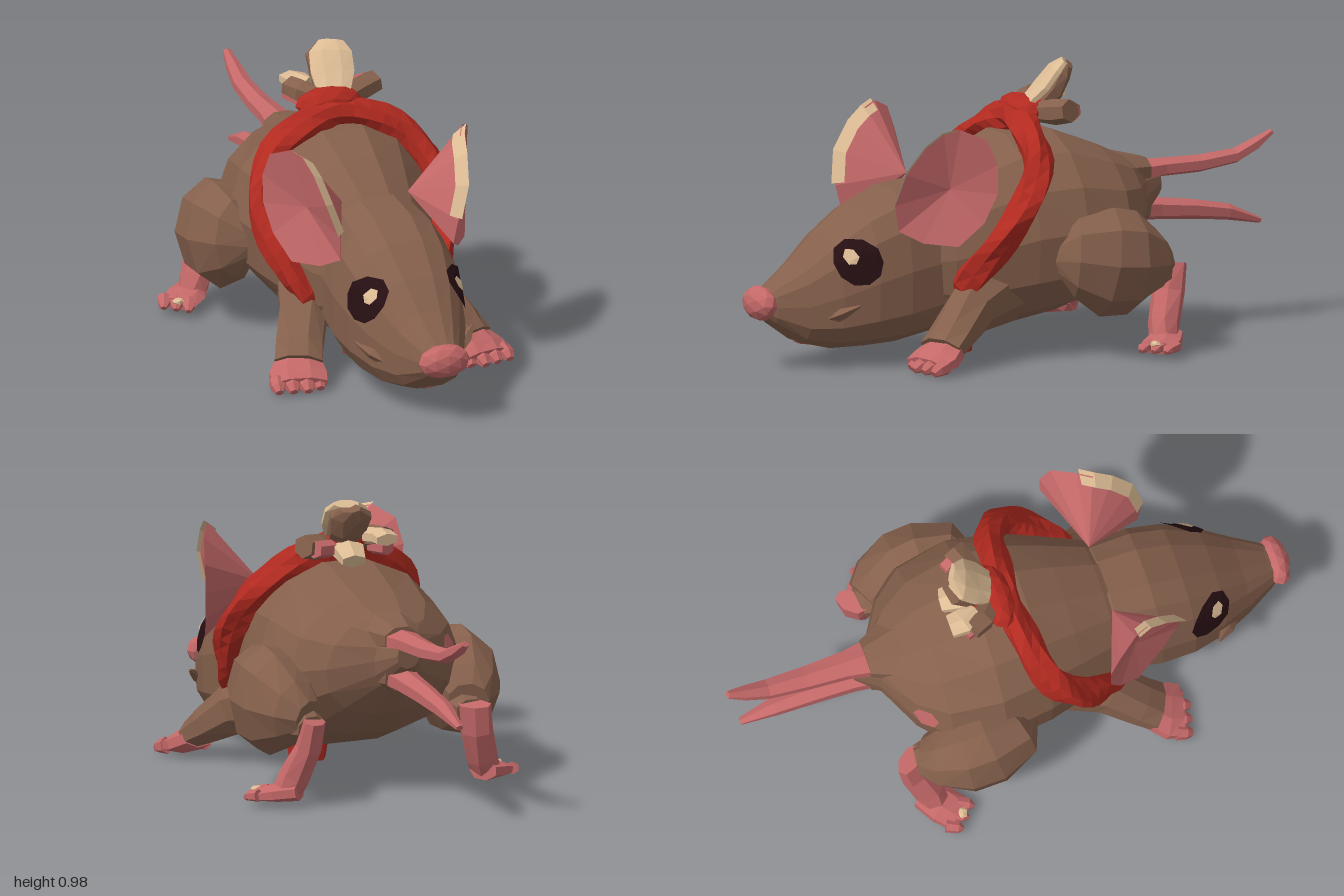
import * as THREE from 'three';

const V = (x, y, z) => new THREE.Vector3(x, y, z);
const mat = (name, color) => Object.assign(new THREE.MeshStandardMaterial({ color }), { name });

// Skin closed rings of points, with capped ends and faceted normals
function loft(rings) {
  const n = rings[0].length, pos = [];
  const tri = (a, b, c) => pos.push(...a.toArray(), ...b.toArray(), ...c.toArray());
  const mid = (r) => r.reduce((s, p) => s.add(p), V(0, 0, 0)).divideScalar(n);
  const first = rings[0], last = rings[rings.length - 1], c0 = mid(first), c1 = mid(last);
  for (let j = 0; j < n; j++) {
    const k = (j + 1) % n;
    for (let i = 0; i < rings.length - 1; i++) {
      const a = rings[i], b = rings[i + 1];
      tri(a[j], a[k], b[k]);
      tri(a[j], b[k], b[j]);
    }
    tri(c0, first[k], first[j]);
    tri(c1, last[j], last[k]);
  }
  return faceted(pos);
}

function faceted(pos) {
  const g = new THREE.BufferGeometry();
  g.setAttribute('position', new THREE.Float32BufferAttribute(pos, 3));
  g.computeVertexNormals();
  return g;
}

// Rows of [z, top, bottom, halfWidth]; taper narrows the upper half, a low power squares the section
function trunk(rows, taper, power, n = 14) {
  const bulge = (t) => Math.sign(t) * Math.pow(Math.abs(t), power);
  return loft(rows.map(([z, top, bot, rx]) => Array.from({ length: n }, (_, j) => {
    const a = (j / n) * Math.PI * 2, s = bulge(Math.sin(a)), c = bulge(Math.cos(a));
    return V(rx * c * (1 - taper * s), (top + bot) / 2 + s * (top - bot) / 2, z);
  })));
}

// Rows of [x, y, z, halfWidth, halfHeight] along a path
function limb(rows, n = 7) {
  const pts = rows.map((r) => V(r[0], r[1], r[2]));
  return loft(rows.map((r, i) => {
    const d = pts[Math.min(i + 1, pts.length - 1)].clone().sub(pts[Math.max(i - 1, 0)]).normalize();
    const u = V(0, 1, 0).cross(d).normalize(), v = d.clone().cross(u);
    return Array.from({ length: n }, (_, j) => {
      const a = ((j + 0.5) / n) * Math.PI * 2;
      return pts[i].clone().addScaledVector(u, r[3] * Math.cos(a)).addScaledVector(v, r[4] * Math.sin(a));
    });
  }));
}

function blob(x, y, z, rx, ry, rz, detail = 1) {
  const g = new THREE.IcosahedronGeometry(1, detail).scale(rx, ry, rz).translate(x, y, z);
  return faceted([...g.attributes.position.array]);
}

// Mirror across x and restore the winding
function mirrored(g) {
  const p = g.attributes.position, out = [];
  for (let i = 0; i < p.count; i += 3)
    for (const k of [0, 2, 1]) out.push(-p.getX(i + k), p.getY(i + k), p.getZ(i + k));
  return faceted(out);
}

// Thin oval laid on the left side of a mesh
function decal(target, y, z, ry, rz, lift, n = 10) {
  const ray = new THREE.Raycaster(), pos = [], radii = [0, 0.35, 0.7, 1];
  const at = (r, j) => {
    const a = (j / n) * Math.PI * 2, py = y + r * ry * Math.sin(a), pz = z - r * rz * Math.cos(a);
    ray.set(V(1, py, pz), V(-1, 0, 0));
    return [ray.intersectObject(target)[0].point.x + lift, py, pz];
  };
  for (let i = 0; i < 3; i++)
    for (let j = 0; j < n; j++) {
      const a = at(radii[i], j), b = at(radii[i], j + 1), c = at(radii[i + 1], j + 1), d = at(radii[i + 1], j);
      pos.push(...a, ...d, ...c, ...a, ...c, ...b);
    }
  return faceted(pos);
}

export function createModel() {
  const fur = mat('brown fur', 0x85604c), skin = mat('pink skin', 0xc46868);
  const cloth = mat('red cloth', 0xb22a20), cream = mat('cream', 0xdcbb94), dark = mat('eye dark', 0x260f13);
  const model = new THREE.Group();
  model.name = 'mouse';
  const add = (name, g, m) => {
    const mesh = new THREE.Mesh(g, m);
    mesh.name = name;
    model.add(mesh);
    return mesh;
  };
  const pair = (name, g, m) => {
    add(name + 'Left', g, m);
    add(name + 'Right', mirrored(g), m);
  };

  // Body and head
  const body = add('body', trunk([
    [-0.56, 0.56, 0.47, 0.04], [-0.48, 0.59, 0.38, 0.09], [-0.4, 0.63, 0.28, 0.23],
    [-0.3, 0.68, 0.19, 0.32], [-0.12, 0.75, 0.12, 0.355], [0.05, 0.745, 0.09, 0.325],
    [0.18, 0.69, 0.08, 0.28], [0.32, 0.62, 0.09, 0.23], [0.42, 0.55, 0.14, 0.17]], 0.1, 0.92), fur);
  add('flankPatch', mirrored(decal(body, 0.49, -0.375, 0.04, 0.035, 0.008, 6)), skin);
  const head = add('head', trunk([
    [0.24, 0.58, 0.14, 0.16], [0.34, 0.605, 0.09, 0.2], [0.48, 0.59, 0.065, 0.215],
    [0.6, 0.535, 0.06, 0.207], [0.72, 0.45, 0.06, 0.172], [0.82, 0.36, 0.085, 0.125],
    [0.92, 0.285, 0.155, 0.075], [0.96, 0.26, 0.19, 0.045]], 0.1, 0.72), fur);
  add('nose', blob(0, 0.228, 0.952, 0.092, 0.06, 0.048), skin);
  add('lowerLip', blob(0, 0.1, 0.78, 0.06, 0.028, 0.05), skin);
  pair('cheekTuft', limb([[0.11, 0.17, 0.76, 0.03, 0.03], [0.17, 0.2, 0.72, 0.025, 0.02], [0.215, 0.23, 0.68, 0.004, 0.004]], 5), fur);

  // Eyes
  pair('eye', decal(head, 0.37, 0.665, 0.078, 0.078, 0.009), dark);
  pair('eyeGlint', decal(head, 0.39, 0.69, 0.028, 0.024, 0.014, 6), cream);

  // Ears: cupped outer face, bulging back, pale front rim
  const rim = [
    [0.31, 0.82, 0.35], [0.36, 0.785, 0.275], [0.372, 0.7, 0.24], [0.37, 0.6, 0.24], [0.35, 0.5, 0.28],
    [0.315, 0.42, 0.36], [0.25, 0.43, 0.46], [0.205, 0.47, 0.53], [0.215, 0.56, 0.55], [0.25, 0.67, 0.525],
    [0.27, 0.76, 0.46], [0.285, 0.805, 0.4]].map((p) => V(...p));
  const earFan = (hub, t) => rim.map((p) => p.clone().lerp(hub, t));
  const bowl = V(0.262, 0.61, 0.365), back = V(0.12, 0.6, 0.33);
  const inner = earFan(bowl, 0.5), outer = earFan(back, 0.5);
  const earPos = [], rimPos = [];
  const put = (list, ...ps) => ps.forEach((p) => list.push(...p.toArray()));
  rim.forEach((p, i) => {
    const k = (i + 1) % rim.length, q = rim[k];
    put(earPos, p, inner[k], inner[i], p, q, inner[k], inner[i], inner[k], bowl);
    put(earPos, p, outer[i], outer[k], p, outer[k], q, outer[i], back, outer[k]);
    // Rim strip along the front and top edge
    if (i >= 8) {
      const lift = V(0.01, 0.006, 0.01), tuck = V(-0.008, 0.006, 0.01);
      const a = p.clone().add(lift), b = q.clone().add(lift);
      const c = p.clone().lerp(outer[i], 0.3).add(tuck), d = q.clone().lerp(outer[k], 0.3).add(tuck);
      put(rimPos, a, c, d, a, d, b);
    }
  });
  skin.side = cream.side = THREE.DoubleSide;
  pair('ear', faceted(earPos), skin);
  pair('earRim', faceted(rimPos), cream);

  // Front legs and paws
  pair('frontLeg', limb([
    [0.17, 0.24, 0.12, 0.1, 0.13], [0.235, 0.19, 0.27, 0.085, 0.095], [0.29, 0.115, 0.37, 0.085, 0.068], [0.315, 0.075, 0.425, 0.088, 0.05]], 8), fur);
  pair('frontPaw', limb([[0.31, 0.072, 0.41, 0.085, 0.045], [0.33, 0.045, 0.455, 0.105, 0.042], [0.34, 0.03, 0.5, 0.1, 0.028]], 8), skin);
  for (let i = 0; i < 4; i++) {
    const x = 0.265 + i * 0.048, z = 0.53 - Math.abs(i - 1) * 0.012;
    pair('frontToe' + i, limb([[x, 0.035, 0.46, 0.028, 0.03], [x + 0.008, 0.026, z - 0.015, 0.026, 0.024], [x + 0.01, 0.014, z + 0.005, 0.015, 0.013]], 6), skin);
  }

  // Hind legs: thigh, knee, shank, foot and toes
  pair('thigh', limb([
    [0.29, 0.34, -0.03, 0.04, 0.06], [0.335, 0.35, -0.08, 0.1, 0.14], [0.345, 0.33, -0.18, 0.135, 0.19],
    [0.345, 0.32, -0.27, 0.135, 0.18], [0.325, 0.31, -0.36, 0.105, 0.115], [0.3, 0.3, -0.41, 0.07, 0.06]], 9), fur);
  pair('hindKnee', limb([[0.32, 0.28, -0.3, 0.09, 0.09], [0.305, 0.27, -0.39, 0.07, 0.06], [0.3, 0.265, -0.43, 0.055, 0.045]], 8), fur);
  pair('shank', limb([[0.3, 0.295, -0.455, 0.06, 0.035], [0.315, 0.2, -0.44, 0.058, 0.045], [0.35, 0.1, -0.405, 0.055, 0.055], [0.375, 0.045, -0.39, 0.05, 0.05]]), skin);
  pair('hindFoot', limb([[0.345, 0.055, -0.43, 0.05, 0.034], [0.4, 0.045, -0.375, 0.07, 0.032], [0.45, 0.035, -0.33, 0.065, 0.022]]), skin);
  for (let i = 0; i < 3; i++) {
    const x = 0.41 + i * 0.033, z = -0.295 - i * 0.03;
    pair('hindToe' + i, limb([[x, 0.042, z - 0.03, 0.024, 0.022], [x + 0.016, 0.036, z + 0.008, 0.022, 0.018], [x + 0.023, 0.026, z + 0.022, 0.01, 0.01]], 6), skin);
  }
  pair('hindClaw', blob(0.452, 0.05, -0.318, 0.022, 0.013, 0.02, 0), cream);

  // Forked tail
  add('upperTail', limb([
    [0, 0.555, -0.47, 0.075, 0.04], [0, 0.56, -0.58, 0.053, 0.032], [0, 0.56, -0.72, 0.044, 0.03],
    [0, 0.575, -0.86, 0.036, 0.026], [0, 0.61, -0.94, 0.027, 0.022], [0, 0.645, -1, 0.014, 0.01]], 6), skin);
  add('lowerTail', limb([
    [0, 0.43, -0.45, 0.07, 0.045], [0, 0.42, -0.56, 0.052, 0.038], [0, 0.405, -0.7, 0.043, 0.034],
    [0, 0.385, -0.83, 0.035, 0.028], [0, 0.345, -0.955, 0.014, 0.01]], 6), skin);
  add('upperTailRoot', limb([[0, 0.56, -0.38, 0.13, 0.08], [0, 0.56, -0.51, 0.068, 0.046]], 8), fur);
  add('lowerTailRoot', limb([[0, 0.45, -0.38, 0.13, 0.1], [0, 0.43, -0.51, 0.065, 0.052]], 8), fur);

  // Scarf: loose slanted loop with folds, tucked under the chest
  const half = [[0.13, 0.75, -0.005], [0.24, 0.68, 0.02], [0.305, 0.59, 0.07], [0.322, 0.5, 0.13], [0.285, 0.37, 0.23], [0.225, 0.265, 0.285], [0.1, 0.19, 0.24]];
  const loop = [[0, 0.78, -0.02], ...half, [0, 0.18, 0.22], ...half.map(([x, y, z]) => [-x, y, z]).reverse()];
  const path = new THREE.CatmullRomCurve3(loop.map((p) => V(...p)), true);
  const tube = new THREE.TubeGeometry(path, 40, 0.055, 8, true);
  const tp = tube.attributes.position;
  for (let i = 0; i < tp.count; i++) {
    const ring = Math.floor(i / 9) % 40, side = i % 9 % 8, c = path.getPointAt(ring / 40);
    const fold = 0.92 + 0.16 * Math.sin(side * 2.4 + ring * 0.9);
    const p = V(0, 0, 0).fromBufferAttribute(tp, i).sub(c).multiplyScalar(fold).add(c);
    tp.setXYZ(i, p.x, p.y, p.z);
  }
  add('scarf', faceted([...tube.toNonIndexed().attributes.position.array]), cloth);
  const underKnot = new THREE.CylinderGeometry(0.088, 0.068, 0.12, 6).rotateY(Math.PI / 6).scale(1, 1, 0.9).translate(0, 0.06, 0.215);
  add('scarfUnderKnot', faceted([...underKnot.toNonIndexed().attributes.position.array]), cloth);

  // Knot and its cloth ends
  add('knot', blob(-0.015, 0.805, -0.05, 0.12, 0.055, 0.06), cloth);
  add('knotTuck', blob(0.02, 0.815, -0.1, 0.09, 0.04, 0.05), cloth);
  add('tallEnd', limb([[0.02, 0.8, -0.08, 0.05, 0.04], [0.025, 0.87, -0.14, 0.07, 0.045], [0.03, 0.925, -0.18, 0.075, 0.035], [0.045, 0.955, -0.2, 0.04, 0.02]], 8), fur);
  add('tallEndFace', limb([[0.01, 0.83, -0.06, 0.06, 0.02], [0.025, 0.885, -0.11, 0.08, 0.022], [0.035, 0.94, -0.155, 0.078, 0.022], [0.05, 0.968, -0.185, 0.045, 0.015]], 8), cream);
  add('leftEnd', limb([[0.03, 0.8, -0.06, 0.03, 0.03], [0.12, 0.81, -0.11, 0.045, 0.045], [0.185, 0.822, -0.135, 0.045, 0.04]], 6), fur);
  add('leftEndTip', limb([[0.08, 0.805, -0.13, 0.03, 0.03], [0.16, 0.815, -0.165, 0.035, 0.03]], 6), skin);
  add('rightEnd', limb([[-0.02, 0.81, -0.06, 0.03, 0.03], [-0.085, 0.83, -0.12, 0.045, 0.04], [-0.105, 0.835, -0.17, 0.045, 0.035]], 6), fur);
  add('rightEndLining', limb([[-0.05, 0.84, -0.14, 0.035, 0.028], [-0.08, 0.845, -0.19, 0.05, 0.028], [-0.08, 0.84, -0.235, 0.045, 0.022]], 6), cream);
  add('rightEndTip', limb([[-0.08, 0.8, -0.12, 0.03, 0.03], [-0.105, 0.8, -0.19, 0.03, 0.025]], 6), skin);
  add('backEnd', limb([[0.02, 0.81, -0.08, 0.03, 0.03], [0.03, 0.8, -0.16, 0.06, 0.035], [0.04, 0.775, -0.225, 0.045, 0.025]], 6), cream);
  return model;
}
